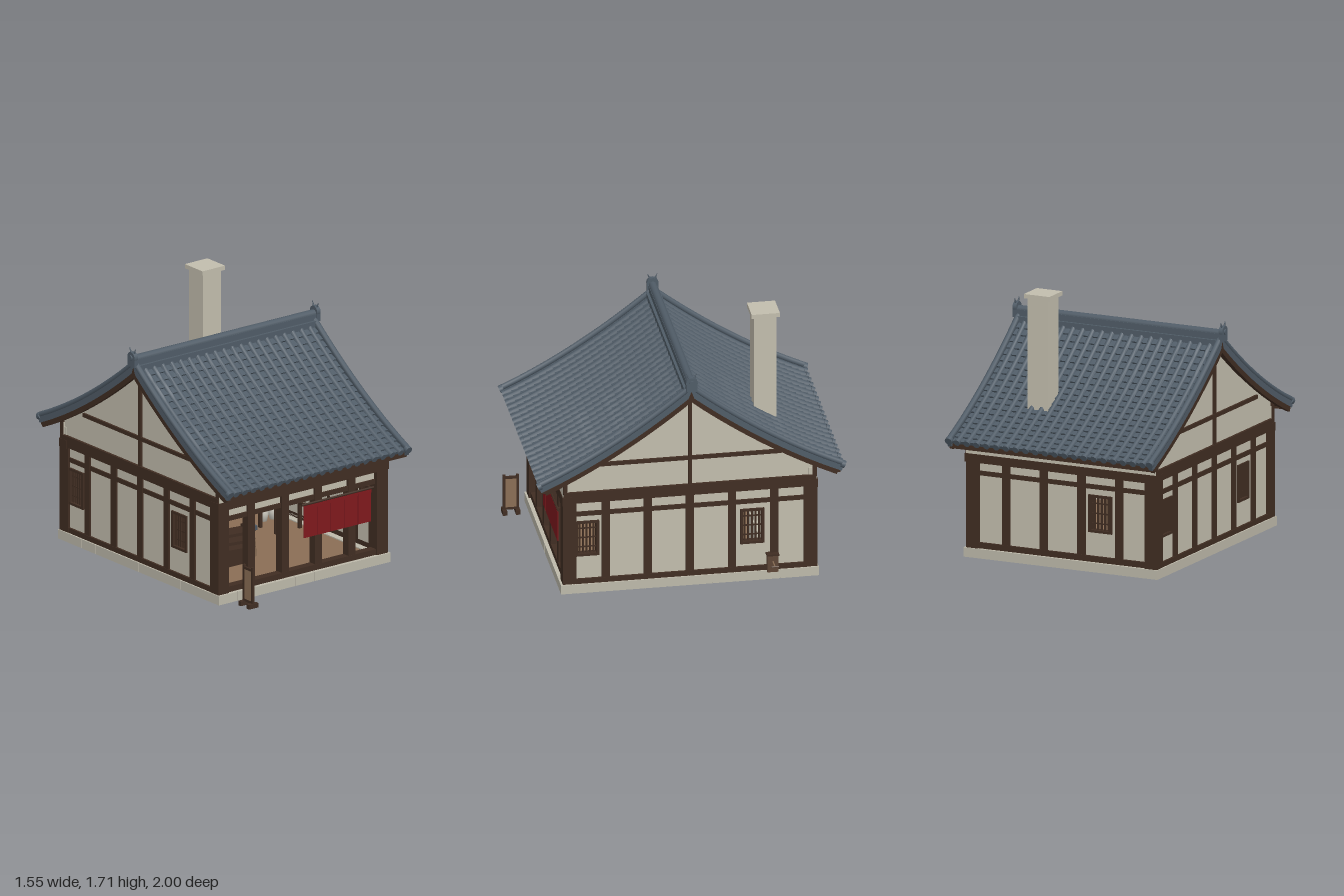
import * as THREE from 'three';
import { toCreasedNormals, mergeGeometries } from 'three/addons/utils/BufferGeometryUtils.js';

const mat = (name, color, side = THREE.FrontSide) => {
  const m = new THREE.MeshStandardMaterial({ color, side });
  m.name = name;
  return m;
};

export function createModel() {
  const plaster = mat('plaster', 0xc2bdad), stone = mat('stone', 0xbdb9aa);
  const timber = mat('dark timber', 0x402d22), slate = mat('roof slate', 0x505c67);
  const red = mat('red cloth', 0x7f191d), tan = mat('light wood', 0x8a6e55);
  const iron = mat('iron', 0x4a5560), clay = mat('pale clay', 0xd2cfc4);
  const brown = mat('brown wood', 0x5c4535);
  const root = new THREE.Group();
  root.name = 'smithy';

  const add = (name, geo, m, parent = root) => {
    const mesh = new THREE.Mesh(geo, m);
    mesh.name = name;
    parent.add(mesh);
    return mesh;
  };
  const box = (name, m, x0, x1, y0, y1, z0, z1, parent = root) => {
    const b = add(name, new THREE.BoxGeometry(x1 - x0, y1 - y0, z1 - z0), m, parent);
    b.position.set((x0 + x1) / 2, (y0 + y1) / 2, (z0 + z1) / 2);
    return b;
  };
  const cyl = (name, m, r0, r1, h, x, y, z, seg = 12) => {
    const c = add(name, new THREE.CylinderGeometry(r0, r1, h, seg), m);
    c.position.set(x, y, z);
    return c;
  };

  // Roof curve: point at distance z from the ridge, moved along the normal
  const roofAt = (z, off) => {
    const slope = -0.82 + 0.38 * z, len = Math.hypot(1, slope);
    return [Math.max(0, z - slope / len * off), 1.44 - 0.82 * z + 0.19 * z * z + off / len];
  };
  const curve = (off, z0, z1, n = 16) =>
    Array.from({ length: n + 1 }, (_, i) => roofAt(z0 + (z1 - z0) * i / n, off));

  // Extrude a z-y outline along x
  const extrudeX = (name, m, shape, x0, x1) => {
    const g = new THREE.ExtrudeGeometry(shape, { depth: x1 - x0, bevelEnabled: false });
    g.rotateY(Math.PI / 2);
    g.translate(x0, 0, 0);
    return add(name, g, m);
  };
  const shapeOf = pts => new THREE.Shape(pts.map(p => new THREE.Vector2(-p[0], p[1])));
  const roofBand = (name, m, top, bottom, x0, x1, end) => {
    for (const s of [1, -1]) {
      const pts = [...curve(top, 0, end), ...curve(bottom, 0, end).reverse()];
      extrudeX(name, m, shapeOf(pts.map(([z, y]) => [s * z, y])), x0, x1);
    }
  };

  // Stone footing blocks over a stone core, and the floor
  const footing = (n, a0, a1, place) => {
    const w = (a1 - a0) / n;
    for (let i = 0; i < n; i++) place(a0 + i * w + 0.001, a0 + (i + 1) * w - 0.001);
  };
  footing(9, -0.71, 0.67, (a, b) => {
    box('footingStone', stone, a, b, 0.006, 0.067, 0.73, 0.83);
    box('footingStone', stone, a, b, 0.006, 0.067, -0.825, -0.725);
  });
  footing(10, -0.725, 0.73, (a, b) => {
    box('footingStone', stone, -0.71, -0.61, 0.006, 0.067, a, b);
    box('footingStone', stone, 0.57, 0.67, 0.006, 0.067, a, b);
  });
  for (const [z0, z1] of [[-0.822, -0.727], [0.732, 0.827]]) box('footingCore', stone, -0.707, 0.667, 0.008, 0.064, z0, z1);
  for (const [x0, x1] of [[-0.707, -0.612], [0.572, 0.667]]) box('footingCore', stone, x0, x1, 0.008, 0.064, -0.727, 0.732);
  box('floor', tan, -0.615, 0.575, 0.002, 0.06, -0.73, 0.735);

  // Walls with window openings
  const hole = (c, h) => new THREE.Path([
    [c - h, 0.265], [c - h, 0.495], [c + h, 0.495], [c + h, 0.265]].map(p => new THREE.Vector2(...p)));
  const sideWall = (x0, windows) => {
    const up = curve(-0.075, 0, 0.83).map(([z, y]) => [Math.min(z, 0.79), y]);
    const s = shapeOf([[-0.79, 0.06], ...up.map(([z, y]) => [-z, y]).reverse(), ...up, [0.79, 0.06]]);
    windows.forEach(z => s.holes.push(hole(-z, 0.068)));
    extrudeX('sideWall', plaster, s, x0, x0 + 0.03);
  };
  sideWall(0.615, [0.66, -0.4]);
  sideWall(-0.685, [-0.66, 0.4]);
  const back = new THREE.Shape([[-0.69, 0.06], [0.65, 0.06], [0.65, 0.76], [-0.69, 0.76]].map(p => new THREE.Vector2(...p)));
  back.holes.push(hole(-0.29, 0.078));
  add('backWall', new THREE.ExtrudeGeometry(back, { depth: 0.03, bevelEnabled: false }), plaster).position.z = -0.79;
  box('frontUpperWall', plaster, -0.685, 0.645, 0.545, 0.68, 0.755, 0.785);
  for (const z of [0.8, -0.8]) box('eaveWall', plaster, -0.695, 0.655, 0.67, 0.79, z - 0.016, z + 0.016);

  // Latticed windows
  const lattice = (x, z, turn, w) => {
    const g = new THREE.Group();
    g.name = 'window';
    const h = w / 2;
    for (const s of [-1, 1]) {
      box('windowJamb', timber, s * h - 0.009, s * h + 0.009, 0.258, 0.502, -0.024, 0.024, g);
      box('windowRail', timber, -h, h, 0.38 + s * 0.114 - 0.008, 0.38 + s * 0.114 + 0.008, -0.024, 0.024, g);
    }
    for (const y of [0.315, 0.38, 0.445]) box('windowCrossBar', timber, -h, h, y - 0.004, y + 0.004, -0.004, 0.004, g);
    for (let i = 1; i < 6; i++) box('windowBar', timber, -h + w * i / 6 - 0.005, -h + w * i / 6 + 0.005, 0.265, 0.495, -0.008, 0.008, g);
    g.position.set(x, 0, z);
    g.rotation.y = turn;
    root.add(g);
  };
  for (const z of [0.66, -0.4]) {
    lattice(0.633, z, Math.PI / 2, 0.136);
    lattice(-0.673, -z, Math.PI / 2, 0.136);
  }
  lattice(-0.29, -0.778, 0, 0.15);

  // Timber frame, front and back
  for (const s of [1, -1]) {
    const span = (a, b) => s > 0 ? [a, b] : [-b, -a];
    for (const x of [-0.425, -0.155, 0.113, 0.38]) box('post', timber, x - 0.028, x + 0.028, 0.065, 0.65, ...span(0.745, 0.803));
    for (const x of [-0.659, 0.614]) box('cornerPost', timber, x - 0.043, x + 0.043, 0.065, 0.68, ...span(0.73, 0.817));
    box('wallPlate', timber, -0.705, 0.665, 0.625, 0.68, ...span(0.74, 0.82));
    box('middleRail', timber, -0.66, 0.62, 0.54, 0.57, ...span(0.755, 0.797));
    box('sill', timber, -0.66, 0.62, 0.065, 0.105, ...span(0.75, 0.805));
  }
  // Timber frame, gable ends
  for (const s of [1, -1]) {
    const span = (a, b) => s > 0 ? [a - 0.02, b - 0.02] : [-b - 0.02, -a - 0.02];
    for (let i = -2; i <= 2; i++) box('sidePost', timber, ...span(0.635, 0.678), 0.065, 0.65, i * 0.27 - 0.026, i * 0.27 + 0.026);
    box('sideBeam', timber, ...span(0.63, 0.683), 0.635, 0.71, -0.812, 0.812);
    box('sideRail', timber, ...span(0.635, 0.675), 0.54, 0.57, -0.75, 0.75);
    box('sideSill', timber, ...span(0.635, 0.68), 0.065, 0.1, -0.75, 0.75);
    box('kingPost', timber, ...span(0.65, 0.68), 0.7, 1.35, -0.012, 0.012);
    box('gableTie', timber, ...span(0.65, 0.68), 0.882, 0.907, -0.585, 0.585);
    for (const z of [-0.8, 0.8]) box('gablePost', timber, ...span(0.668, 0.68), 0.7, 0.82, z - 0.014, z + 0.014);
  }

  // Roof deck, gable boards and verge tiles
  roofBand('roofDeck', timber, -0.052, -0.08, -0.73, 0.69, 0.96);
  for (const x of [-0.735, 0.695]) {
    roofBand('bargeBoard', timber, -0.068, -0.102, x - 0.013, x + 0.013, 0.975);
    roofBand('vergeTiles', slate, -0.012, -0.07, x - 0.014, x + 0.014, 0.992);
    for (const s of [1, -1]) {
      const path = new THREE.CatmullRomCurve3(curve(-0.02, 0.02, 0.988, 10).map(([z, y]) => new THREE.Vector3(x, y, s * z)));
      add('vergeRoll', new THREE.TubeGeometry(path, 24, 0.019, 8), slate);
      const [z, y] = roofAt(0.985, -0.027);
      cyl('vergeCap', slate, 0.025, 0.025, 0.026, x, y, s * z).rotation.x = s * (Math.PI / 2 + 0.42);
    }
  }
  for (const s of [1, -1]) box('eaveBoard', timber, -0.74, 0.7, 0.738, 0.775, s * 0.945 - 0.012, s * 0.945 + 0.012);

  // Tile field: long cover rolls across, pan tiles stepped down the slope
  const count = 20, pitch = 0.0695, firstX = -0.02 - pitch * (count - 1) / 2, rows = 22, r = 0.018;
  const profile = [[-0.735, 0]];
  for (let i = 0; i < count; i++)
    for (let k = 0; k <= 6; k++) {
      const a = Math.PI * k / 6;
      profile.push([firstX + i * pitch - r * Math.cos(a), r * Math.sin(a) * 1.3]);
    }
  profile.push([0.695, 0]);
  const rings = [];
  for (let j = 0; j < rows; j++) rings.push([0.01 + 0.97 * j / rows, 0], [0.01 + 0.97 * (j + 1) / rows, 1]);
  rings.push([0.978, -1]);
  for (const s of [1, -1]) {
    const pos = [], idx = [], w = profile.length;
    for (const [z, step] of rings)
      for (const [x, h] of profile) {
        const lift = step < 0 ? -0.03 : h + (h > 0.004 ? 0 : step * 0.012);
        const [pz, py] = roofAt(z, -0.044 + lift);
        pos.push(x, py, s * pz);
      }
    for (let j = 0; j < rings.length - 1; j++)
      for (let i = 0; i < w - 1; i++) {
        const a = j * w + i, b = a + w, c = a + 1, d = b + 1;
        if (s > 0) idx.push(a, b, c, c, b, d); else idx.push(a, c, b, c, d, b);
      }
    const g = new THREE.BufferGeometry();
    g.setAttribute('position', new THREE.Float32BufferAttribute(pos, 3));
    g.setIndex(idx);
    add('roofTiles', toCreasedNormals(g, 0.7), slate);
    // Round tile ends along the eave
    const [ez, ey] = roofAt(0.981, -0.037);
    const ends = Array.from({ length: count }, (_, i) => new THREE.CylinderGeometry(0.022, 0.022, 0.022, 12)
      .rotateX(s * (Math.PI / 2 + 0.42)).translate(firstX + i * pitch, ey, s * ez));
    add('eaveTileEnds', mergeGeometries(ends), slate);
  }

  // Ridge and end ornaments
  box('ridgeBase', slate, -0.74, 0.7, 1.36, 1.4, -0.045, 0.045);
  box('ridgeBody', slate, -0.74, 0.7, 1.38, 1.44, -0.028, 0.028);
  cyl('ridgeRoll', slate, 0.026, 0.026, 1.46, -0.02, 1.438, 0).rotation.z = Math.PI / 2;
  for (const s of [1, -1]) {
    const x = -0.02 + s * 0.733;
    box('ridgeEndPlate', slate, x - 0.014, x + 0.014, 1.39, 1.45, -0.036, 0.036);
    cyl('ridgeEndRound', slate, 0.038, 0.038, 0.028, x, 1.45, 0, 16).rotation.z = Math.PI / 2;
    cyl('ridgeEndBoss', slate, 0.018, 0.018, 0.03, x + s * 0.009, 1.45, 0).rotation.z = Math.PI / 2;
    for (const t of [1, -1]) cyl('ridgeHorn', slate, 0.002, 0.008, 0.045, x, 1.49, t * 0.021, 6).rotation.x = t * 0.4;
  }

  // Forge and chimney
  box('forge', plaster, 0.12, 0.47, 0.001, 0.25, -0.73, -0.46);
  box('chimney', plaster, 0.176, 0.322, 0.25, 1.685, -0.613, -0.467);
  box('chimneyCap', plaster, 0.158, 0.34, 1.682, 1.71, -0.631, -0.45);
  for (const x of [0.055, 0.18]) box('forgeTool', iron, x - 0.025, x + 0.025, 0.27, 0.28, -0.45, -0.43);

  // Door curtain
  box('curtainTop', red, -0.024, 0.518, 0.5, 0.526, 0.823, 0.827);
  for (let i = 0; i < 5; i++) box('curtainPanel', red, -0.024 + i * 0.1088, 0.08 + i * 0.1088, 0.31, 0.515, 0.822, 0.828);
  cyl('curtainRod', timber, 0.008, 0.008, 0.575, 0.247, 0.532, 0.825, 8).rotation.z = Math.PI / 2;
  for (const x of [-0.02, 0.51]) box('rodBracket', timber, x - 0.008, x + 0.008, 0.524, 0.542, 0.78, 0.825);

  // Standing board by the entrance
  for (const z of [0.9, 0.985]) {
    box('boardPost', timber, -0.568, -0.552, 0, 0.27, z - 0.008, z + 0.008);
    box('boardFoot', timber, -0.597, -0.523, 0, 0.03, z - 0.014, z + 0.014);
  }
  box('boardPanel', tan, -0.565, -0.555, 0.04, 0.25, 0.9, 0.985);
  for (const y of [0.035, 0.25]) box('boardRail', timber, -0.567, -0.553, y - 0.008, y + 0.008, 0.89, 0.995);

  // Bellows box through the wall
  box('bellowsBox', brown, 0.53, 0.685, 0.06, 0.175, -0.562, -0.492);
  box('bellowsLid', timber, 0.525, 0.692, 0.175, 0.186, -0.567, -0.487);
  cyl('bellowsRod', tan, 0.005, 0.005, 0.09, 0.725, 0.135, -0.527, 8).rotation.z = Math.PI / 2;
  cyl('bellowsHandle', brown, 0.006, 0.006, 0.05, 0.766, 0.135, -0.527, 8).rotation.x = Math.PI / 2;

  // Barrel
  const barrel = [[0, 0], [0.048, 0], [0.057, 0.085], [0.05, 0.17], [0.043, 0.17], [0.043, 0.15], [0, 0.15]];
  add('barrel', new THREE.LatheGeometry(barrel.map(p => new THREE.Vector2(...p)), 16), tan).position.set(-0.545, 0.06, 0.62);
  for (const y of [0.1, 0.2]) cyl('barrelHoop', timber, 0.058, 0.058, 0.014, -0.545, y, 0.62, 16);

  // Stock rack
  box('rackBase', timber, -0.35, -0.11, 0.001, 0.16, 0.33, 0.41);
  for (const x of [-0.34, -0.12]) for (const z of [0.32, 0.42]) box('rackPost', timber, x - 0.01, x + 0.01, 0.06, 0.29, z - 0.01, z + 0.01);
  for (const y of [0.165, 0.215, 0.27]) box('rackShelf', timber, -0.345, -0.105, y - 0.01, y + 0.01, 0.31, 0.43).rotation.z = -0.06;

  // Anvil on its stump
  cyl('stump', tan, 0.042, 0.05, 0.12, -0.055, 0.12, 0.3, 14);
  box('anvilFoot', iron, -0.085, -0.025, 0.18, 0.2, 0.275, 0.325);
  box('anvilWaist', iron, -0.07, -0.04, 0.2, 0.225, 0.285, 0.315);
  box('anvilFace', iron, -0.09, -0.005, 0.225, 0.255, 0.275, 0.325);
  cyl('anvilHorn', iron, 0.003, 0.014, 0.04, -0.105, 0.242, 0.3, 8).rotation.z = Math.PI / 2;

  // Tool bench with hanging tongs
  box('toolBench', timber, -0.35, -0.11, 0.001, 0.17, -0.67, -0.56);
  box('toolBoard', tan, -0.395, -0.185, 0.265, 0.42, -0.56, -0.55);
  for (const x of [-0.34, -0.24]) for (const t of [1, -1]) box('tongs', timber, x - 0.004 + t * 0.014, x + 0.004 + t * 0.014, 0.3, 0.4, -0.545, -0.538).rotation.z = t * 0.25;
  for (const x of [-0.38, -0.29, -0.2]) box('hammer', iron, x - 0.014, x + 0.014, 0.283, 0.297, -0.548, -0.53);

  // Work table and jars
  box('tableTop', tan, 0.315, 0.545, 0.262, 0.282, -0.1, 0.1);
  for (const x of [0.335, 0.525]) for (const z of [-0.08, 0.08]) box('tableLeg', timber, x - 0.01, x + 0.01, 0.06, 0.262, z - 0.01, z + 0.01);
  const jar = [[0, 0], [0.022, 0], [0.033, 0.05], [0.03, 0.09], [0.016, 0.108], [0.02, 0.118], [0, 0.118]].map(p => new THREE.Vector2(...p));
  for (const x of [0.43, 0.505]) add('jar', new THREE.LatheGeometry(jar, 16), clay).position.set(x, 0.06, -0.17);
  return root;
}
